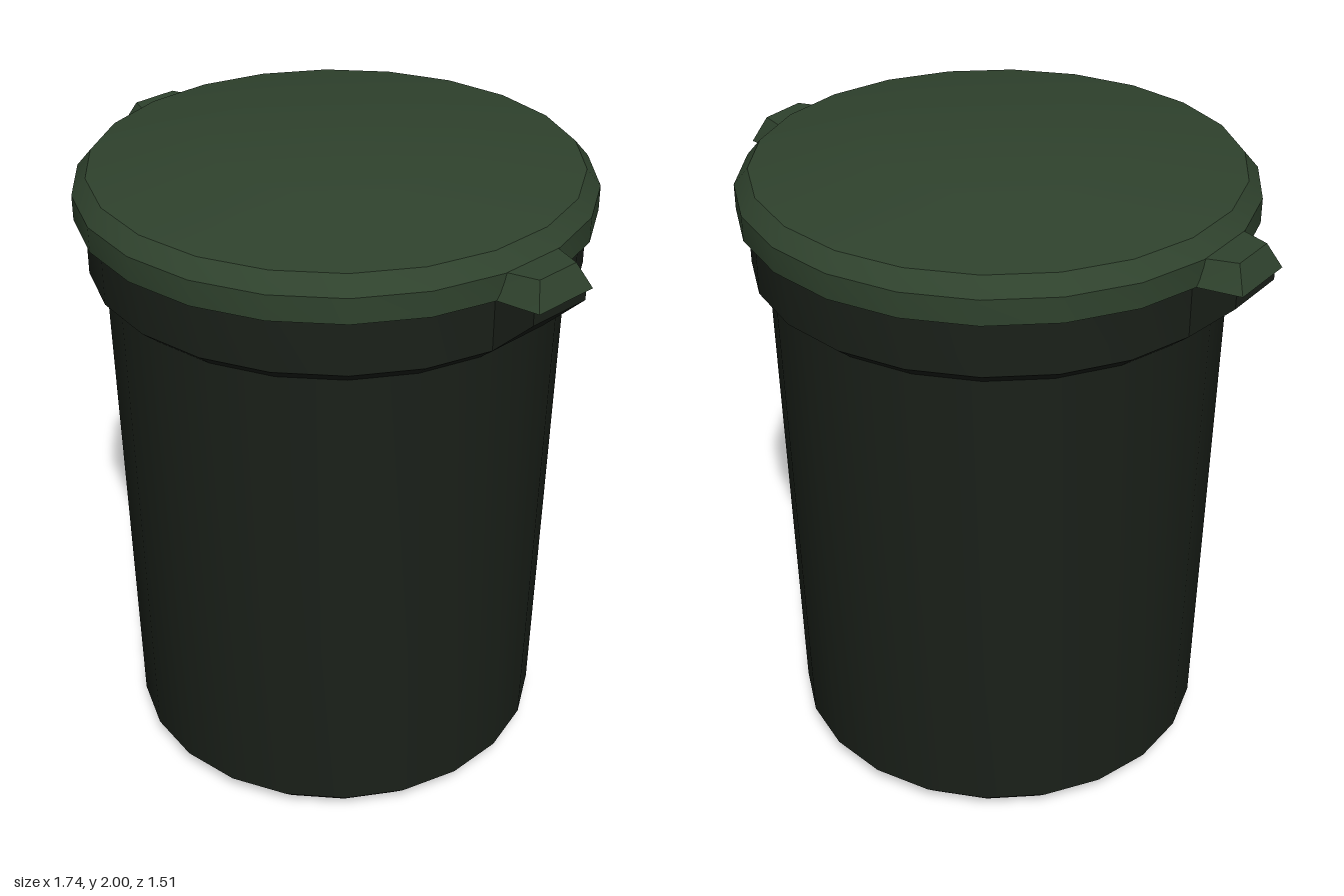
import * as THREE from 'three';
import { toCreasedNormals } from 'three/addons/utils/BufferGeometryUtils.js';

const SIDES = 22;
const bodyMaterial = new THREE.MeshStandardMaterial({ color: 0x1a2019 });
const lidMaterial = new THREE.MeshStandardMaterial({ color: 0x2f422d });

function part(name, geometry, material) {
  const mesh = new THREE.Mesh(toCreasedNormals(geometry, 0.42), material);
  mesh.name = name;
  return mesh;
}

// Profile of [radius, y] from the bottom axis up to the top axis
function turned(profile) {
  return new THREE.LatheGeometry(profile.map(([r, y]) => new THREE.Vector2(r, y)), SIDES);
}

// Tapered grip on the lid: narrower at the outer end and at the top
function gripGeometry() {
  const geometry = new THREE.BoxGeometry(1, 1, 1);
  const p = geometry.attributes.position;
  for (let i = 0; i < p.count; i++) {
    const outer = p.getX(i) > 0, top = p.getY(i) > 0;
    const x = outer ? (top ? 0.835 : 0.87) : 0.72;
    const halfWidth = outer ? (top ? 0.073 : 0.107) : (top ? 0.112 : 0.134);
    p.setXYZ(i, x, top ? 1.885 : 1.81, Math.sign(p.getZ(i)) * halfWidth);
  }
  return geometry;
}

// Sloped bracket under the grip
function bracketGeometry() {
  const outline = [[0.68, 1.64], [0.717, 1.64], [0.85, 1.768], [0.85, 1.812], [0.68, 1.812]];
  const shape = new THREE.Shape(outline.map(([x, y]) => new THREE.Vector2(x, y)));
  const geometry = new THREE.ExtrudeGeometry(shape, { depth: 0.21, bevelEnabled: false });
  return geometry.translate(0, 0, -0.105);
}

export function createModel() {
  const model = new THREE.Group();
  model.name = 'trashCan';

  // Tapered body with chamfered foot and stepped collar
  model.add(part('body', turned([
    [0, 0], [0.588, 0], [0.652, 0.065], [0.678, 1.6], [0.725, 1.64], [0.725, 1.815], [0, 1.815],
  ]), bodyMaterial));

  // Lid with straight rim, chamfer and shallow dome
  model.add(part('lid', turned([
    [0, 1.81], [0.757, 1.81], [0.757, 1.885], [0.715, 1.934], [0.37, 1.992], [0, 2],
  ]), lidMaterial));

  // Handles on both sides
  for (const side of ['left', 'right']) {
    const handle = new THREE.Group();
    handle.name = side + 'Handle';
    handle.add(part(side + 'LidGrip', gripGeometry(), lidMaterial));
    handle.add(part(side + 'Bracket', bracketGeometry(), bodyMaterial));
    if (side === 'right') handle.rotation.y = Math.PI;
    model.add(handle);
  }
  return model;
}
